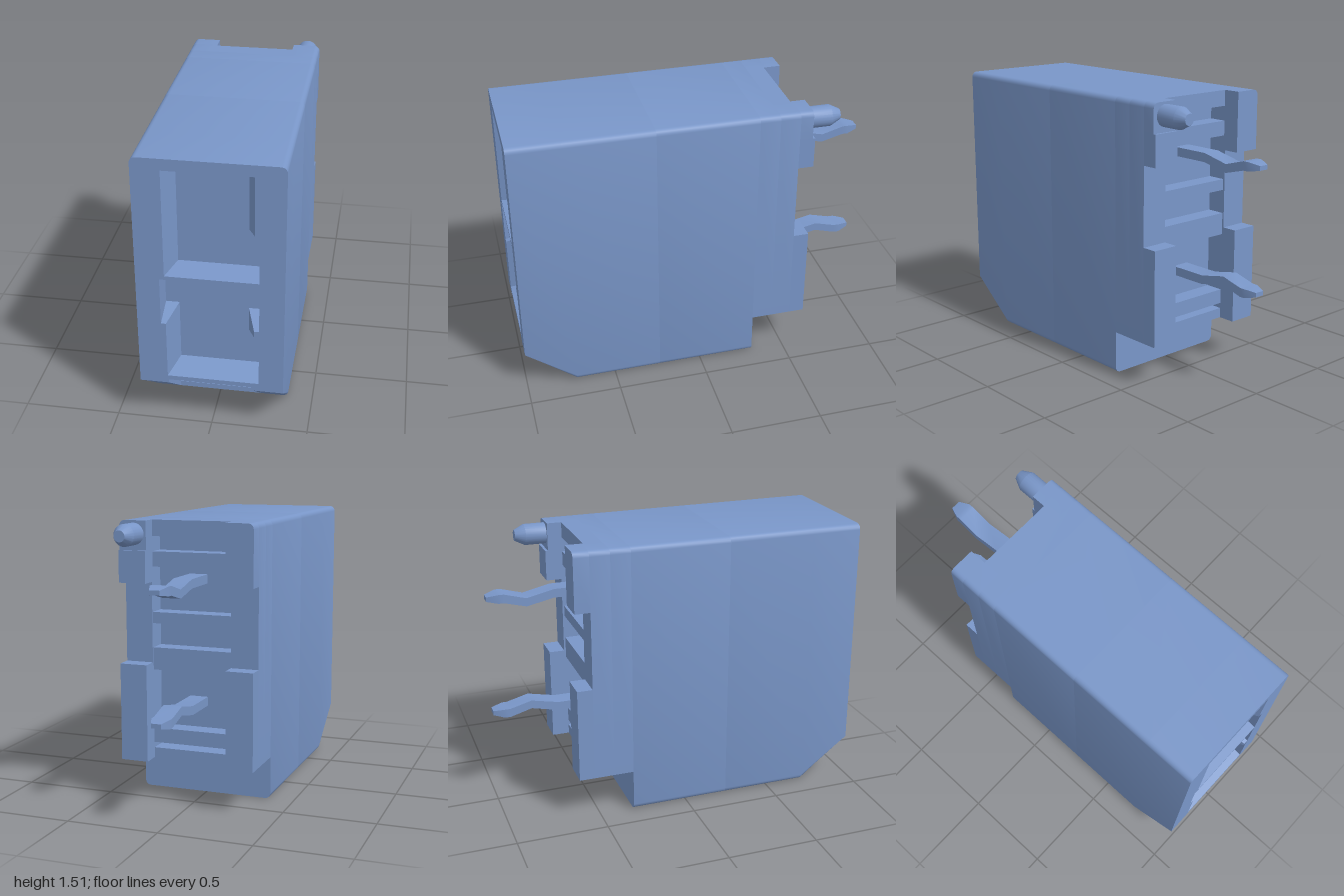
import * as THREE from 'three';
import { toCreasedNormals } from 'three/addons/utils/BufferGeometryUtils.js';

const TOP = 1.515, W = 0.37, R = 0.03, STEP = 0.235;

const toShape = (pts) => new THREE.Shape(pts.map(([x, y]) => new THREE.Vector2(x, y)));

// Skin matching counter-clockwise outlines along +z, with optional end caps.
function loft(sections, { front = true, back = true, inside = false, holes = [] } = {}) {
  const pos = [];
  const tri = (a, b, c, flip) => pos.push(...a, ...(flip ? c : b), ...(flip ? b : c));
  for (let k = 0; k < sections.length - 1; k++) {
    const [s, t] = [sections[k], sections[k + 1]];
    const n = s.pts.length;
    for (let i = 0; i < n; i++) {
      const j = (i + 1) % n;
      const a = [...s.pts[i], s.z], b = [...s.pts[j], s.z];
      const c = [...t.pts[i], t.z], d = [...t.pts[j], t.z];
      tri(a, b, d, inside);
      tri(a, d, c, inside);
    }
  }
  const cap = (section, flip, cuts) => {
    const shape = toShape(section.pts);
    shape.holes = cuts.map(toShape);
    const p = new THREE.ShapeGeometry(shape).toNonIndexed().attributes.position;
    const v = (i) => [p.getX(i), p.getY(i), section.z];
    for (let i = 0; i < p.count; i += 3) tri(v(i), v(i + 1), v(i + 2), flip);
  };
  if (front) cap(sections[sections.length - 1], false, holes);
  if (back) cap(sections[0], !inside, []);
  const g = new THREE.BufferGeometry();
  g.setAttribute('position', new THREE.Float32BufferAttribute(pos, 3));
  return toCreasedNormals(g, 0.5);
}

function arc(cx, cy, r, from, sweep = Math.PI / 2, steps = 4) {
  return Array.from({ length: steps + 1 }, (_, i) => {
    const a = from + (sweep * i) / steps;
    return [cx + r * Math.cos(a), cy + r * Math.sin(a)];
  });
}

const rect = (x0, x1, y0, y1) => [[x0, y0], [x1, y0], [x1, y1], [x0, y1]];

// Rounded housing outline, cut off below yMin, optionally with a channel underneath
function outline(yMin = 0, ceiling = null) {
  const h = Math.PI / 2, x = W - R;
  const pts = [
    ...arc(x, R, R, -h), ...arc(x, TOP - R, R, 0),
    ...arc(-x, TOP - R, R, h), ...arc(-x, R, R, 2 * h),
  ].map(([px, py]) => [px, Math.max(py, yMin)]);
  if (ceiling !== null) pts.push([-0.22, yMin], [-0.22, ceiling], [0.22, ceiling], [0.22, yMin]);
  return pts;
}

// Rear post outline on side s, with a rounded outer corner when it reaches the top
function postOutline(s, y0, y1) {
  const corner = y1 === TOP ? arc(W - R, TOP - R, R, 0) : [[W, y1]];
  const pts = [[0.22, y0], [W, y0], ...corner, [0.22, y1]];
  return s > 0 ? pts : pts.map(([x, y]) => [-x, y]).reverse();
}

// Tapered front pockets: rim and floor outlines
const pockets = [
  {
    name: 'upperPocket',
    rim: [[-0.225, 0.88], [0.245, 0.88], [0.245, 1.145], [0.22, 1.145], [0.22, 1.455], [-0.225, 1.455]],
    floor: [[-0.18, 0.9], [0.245, 0.9], [0.245, 1.105], [0.175, 1.105], [0.175, 1.435], [-0.18, 1.435]],
  },
  {
    name: 'lowerPocket',
    rim: [[-0.225, 0.28], [0.245, 0.28], [0.245, 0.565], [0.22, 0.565], [0.22, 0.6],
      [0.245, 0.6], [0.245, 0.86], [-0.25, 0.86], [-0.25, 0.6], [-0.225, 0.6]],
    floor: [[-0.18, 0.32], [0.245, 0.32], [0.245, 0.52], [0.175, 0.52], [0.175, 0.65],
      [0.245, 0.65], [0.245, 0.85], [-0.25, 0.85], [-0.25, 0.65], [-0.18, 0.65]],
  },
];

export function createModel() {
  const model = new THREE.Group();
  const blue = new THREE.MeshStandardMaterial({ color: 0x7996c8 });
  blue.name = 'steelBlue';
  const add = (name, sections, options) => {
    const mesh = new THREE.Mesh(loft(sections, options), blue);
    mesh.name = name;
    model.add(mesh);
  };
  const prism = (name, pts, z0, z1) => add(name, [{ z: z0, pts }, { z: z1, pts }]);

  // Housing: core, chamfered front with channel, raised rear
  prism('housingCore', outline(), -0.31, 0.24);
  add('housingFront', [
    { z: 0.24, pts: outline(0, 0.235) },
    { z: 0.72, pts: outline(0, 0.248) },
    { z: 1, pts: outline(STEP, 0.255) },
  ], { back: false, holes: pockets.map((p) => p.rim) });
  prism('housingRear', outline(STEP), -0.42, -0.31);

  for (const p of pockets) {
    add(p.name, [{ z: 0.87, pts: p.floor }, { z: 1, pts: p.rim }], { inside: true, front: false });
  }

  // Sloped lip across the bottom channel
  add('latchLip', [
    { z: 0.52, pts: rect(-0.22, 0.22, 0, 0.075) },
    { z: 0.72, pts: rect(-0.22, 0.22, 0, 0.03) },
  ]);

  // Rear posts with a shallow notch half way up
  for (const s of [-1, 1]) {
    prism('rearPost', postOutline(s, STEP, TOP), -0.53, -0.42);
    prism('lowerPostFoot', postOutline(s, STEP, 0.76), -0.615, -0.53);
    if (s < 0) prism('upperPostFoot', postOutline(s, 1.19, TOP), -0.615, -0.53);
  }
  prism('upperPostFoot', postOutline(1, 1.19, 1.36), -0.615, -0.53);
  prism('pegSeat', postOutline(1, 1.36, TOP), -0.6, -0.53);

  // Cross ribs between the rear posts
  const ribs = [[1.43, TOP], [1.27, 1.35], [0.97, 1.03], [0.72, 0.84], [0.32, 0.4], [STEP, 0.29]];
  for (const [y0, y1] of ribs) prism('rearRib', rect(-0.22, 0.22, y0, y1), -0.52, -0.42);

  // Locating peg with a conical tip
  const circle = (r) => arc(0.29, 1.445, r, 0, Math.PI * 2, 24).slice(0, -1);
  add('locatingPeg', [
    { z: -0.77, pts: circle(0.03) },
    { z: -0.715, pts: circle(0.058) },
    { z: -0.6, pts: circle(0.058) },
  ]);

  // Kinked contact pins, mirrored about the middle: z, height, half width, half thickness
  const path = [
    [-1, 1.203, 0.027, 0.012], [-0.94, 1.205, 0.05, 0.024], [-0.91, 1.205, 0.05, 0.024],
    [-0.79, 1.172, 0.05, 0.023], [-0.64, 1.205, 0.05, 0.024], [-0.4, 1.205, 0.05, 0.024],
  ];
  for (const s of [1, -1]) {
    add(s > 0 ? 'upperContactPin' : 'lowerContactPin', path.map(([z, y, w, t]) => {
      const cy = 0.875 + s * (y - 0.875);
      return { z, pts: rect(-w, w, cy - t, cy + t) };
    }));
  }
  return model;
}
